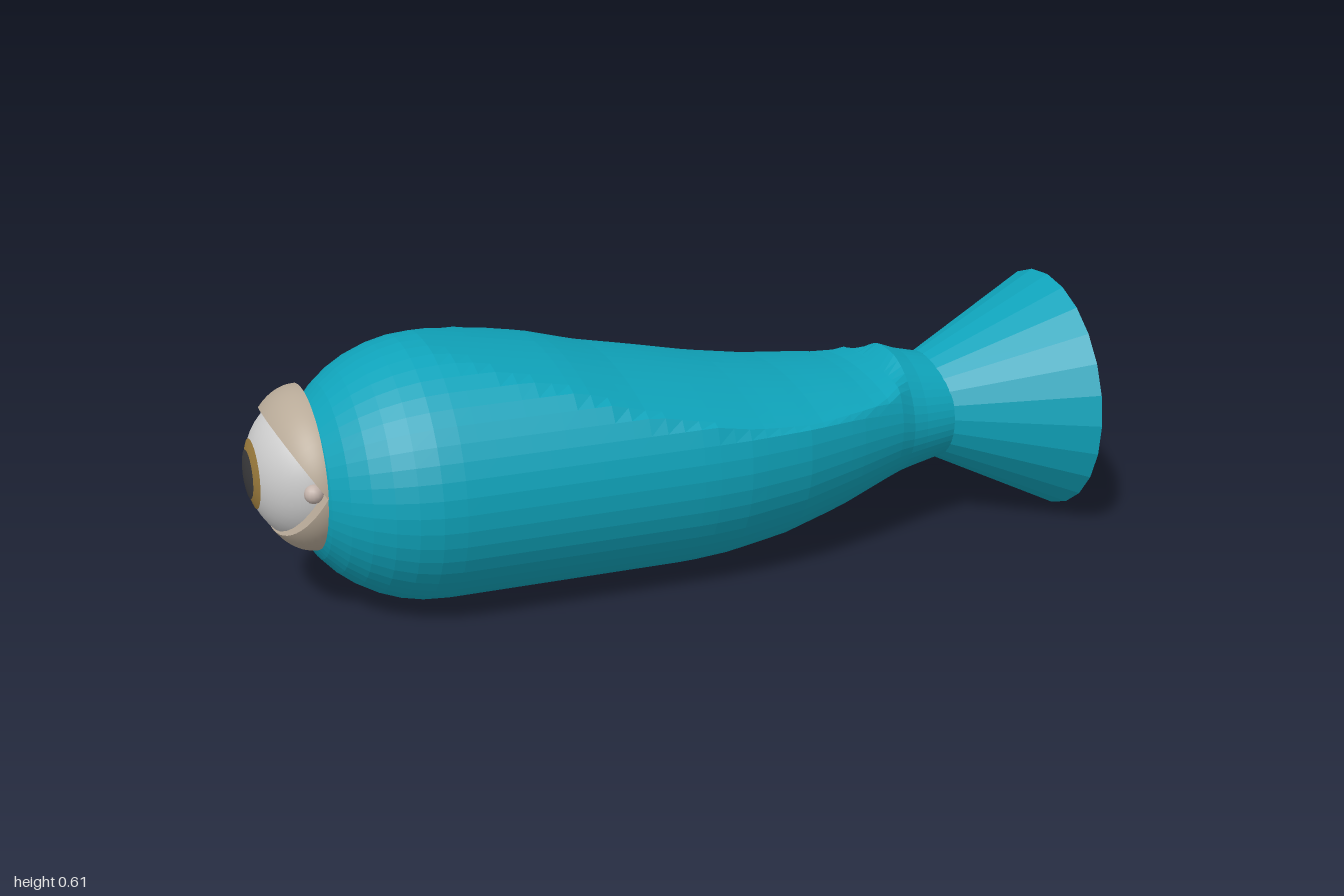
import * as THREE from 'three';
import { mergeGeometries } from 'three/addons/utils/BufferGeometryUtils.js';

const mat = (color, extra = {}) => new THREE.MeshStandardMaterial({ color, ...extra });

// Piecewise-linear lookup of column c in rows sorted by their first column
function sample(rows, x, c) {
  let i = 0;
  while (i < rows.length - 2 && x > rows[i + 1][0]) i++;
  const [a, b] = [rows[i], rows[i + 1]];
  const t = THREE.MathUtils.clamp((x - a[0]) / (b[0] - a[0]), 0, 1);
  return a[c] + (b[c] - a[c]) * t;
}

// Body stations: x, centre height, half height, half width
const stations = [
  [-0.58, 0.305, 0.305, 0.33], [0, 0.305, 0.305, 0.33], [0.1, 0.305, 0.298, 0.323],
  [0.25, 0.305, 0.275, 0.295], [0.4, 0.305, 0.235, 0.245], [0.53, 0.3, 0.18, 0.195],
  [0.58, 0.287, 0.15, 0.17], [0.69, 0.285, 0.125, 0.145],
];
// Height of the shallow scoop along the back
const scoop = [
  [-0.6, 0.61], [-0.45, 0.583], [-0.28, 0.55], [-0.15, 0.512], [0, 0.48],
  [0.15, 0.446], [0.3, 0.42], [0.48, 0.404], [0.56, 0.42], [0.6, 0.5],
];

function bodyGeometry() {
  const sides = 48, noseRings = 10, pos = [], index = [], rings = [];
  for (let i = 0; i < noseRings; i++) {
    const a = (i / noseRings) * Math.PI / 2, r = Math.max(Math.sin(a), 0.001);
    rings.push([-0.58 - 0.333 * Math.cos(a), 0.305, 0.305 * r, 0.33 * r]);
  }
  for (let i = 0; i <= 32; i++) {
    const x = -0.58 + (1.27 * i) / 32;
    rings.push([x, ...[1, 2, 3].map(c => sample(stations, x, c))]);
  }
  rings.forEach(([x, cy, ry, rz], i) => {
    for (let j = 0; j < sides; j++) {
      const a = (j / sides) * Math.PI * 2;
      const z = rz * Math.sin(a);
      let y = cy + ry * Math.cos(a);
      if (x > -0.6 && Math.cos(a) > 0) {
        y = Math.min(y, Math.max(cy, sample(scoop, x, 1) - 0.6 * z * z));
      }
      pos.push(x, y, z);
      if (i < rings.length - 1) {
        const p = i * sides + j, q = i * sides + (j + 1) % sides;
        index.push(p, q, p + sides, q, q + sides, p + sides);
      }
    }
  });
  const g = new THREE.BufferGeometry();
  g.setAttribute('position', new THREE.Float32BufferAttribute(pos, 3));
  g.setIndex(index);
  g.computeVertexNormals();
  return g;
}

// Solid wedge of a unit ball, hinged on the z axis; angle 0 faces -x
function lidGeometry(start, length) {
  const parts = [new THREE.SphereGeometry(1, 10, 28, start, length)];
  for (const phi of [start, start + length]) {
    parts.push(new THREE.CircleGeometry(1, 28, -Math.PI / 2, Math.PI).rotateY(Math.PI + phi));
  }
  return mergeGeometries(parts).rotateX(Math.PI / 2);
}

// Cap of a unit ball facing -x
const capGeometry = angle =>
  new THREE.SphereGeometry(1, 28, 12, 0, Math.PI * 2, 0, angle).rotateZ(Math.PI / 2);

export function createModel() {
  const model = new THREE.Group();
  const teal = mat(0x0fa3ba, { flatShading: true });
  const lidMat = mat(0xb8aa98, { side: THREE.DoubleSide });
  const add = (parent, name, geometry, material) => {
    const m = new THREE.Mesh(geometry, material);
    m.name = name;
    parent.add(m);
    return m;
  };

  add(model, 'body', bodyGeometry(), teal);

  // Flared tail with a flat end
  const tail = add(model, 'tail', new THREE.CylinderGeometry(0.29, 0.125, 0.33, 24), teal);
  tail.rotation.z = -Math.PI / 2;
  tail.scale.z = 1.05;
  tail.position.set(0.835, 0.29, 0);

  // Eye on the nose
  const eye = new THREE.Group();
  eye.name = 'eye';
  eye.position.set(-0.86, 0.338, 0);
  model.add(eye);
  add(eye, 'eyeball', capGeometry(Math.PI / 2), mat(0xcccccc)).scale.set(0.136, 0.168, 0.168);
  add(eye, 'iris', capGeometry(0.49), mat(0x9a7a3c)).scale.set(0.138, 0.17, 0.17);
  add(eye, 'pupil', capGeometry(0.33), mat(0x3a3a3c)).scale.set(0.14, 0.172, 0.172);

  // Eyelids meeting at the corners
  const open = 0.8, span = Math.PI / 2 - open;
  add(eye, 'upperEyelid', lidGeometry(-Math.PI / 2, span), lidMat).scale.set(0.13, 0.187, 0.212);
  add(eye, 'lowerEyelid', lidGeometry(open, span), lidMat).scale.set(0.124, 0.187, 0.208);

  // Small bead in the corner of the eye
  add(eye, 'eyeCorner', new THREE.SphereGeometry(0.022, 14, 10), mat(0xc4b4ac))
    .position.set(-0.022, 0, 0.165);

  return model;
}
